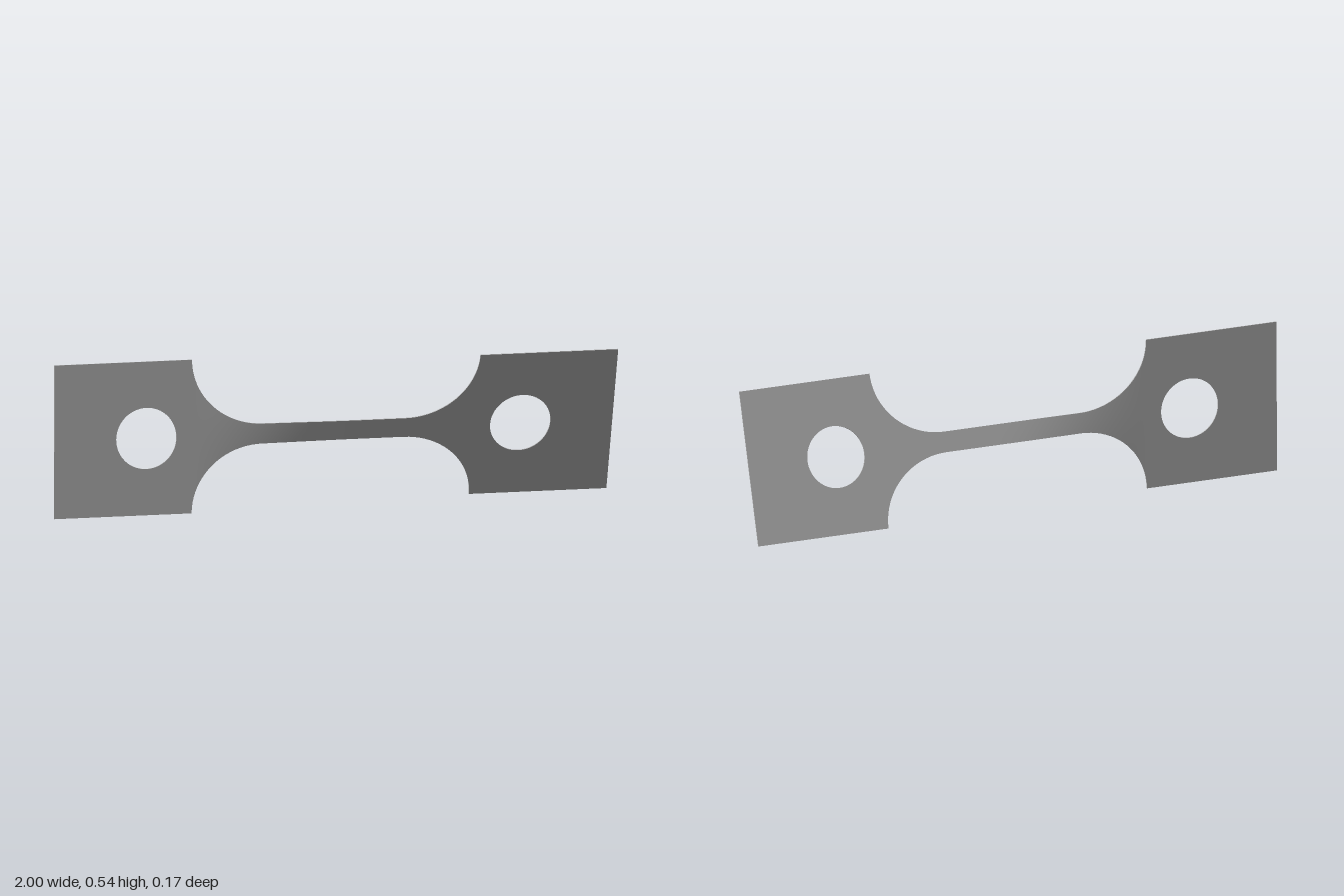
import * as THREE from 'three';

const MID = 0.272;       // height of the long axis
const HALF = 0.271;      // half height of the heads
const NECK = 0.036;      // half height of the narrow bar
const HEAD_X = 0.507;    // inner edge of the heads
const BAR_X = 0.255;     // end of the straight bar
const THICK = 0.004;
const TILT_A = 0.012, TILT_B = 0.311; // tilt of the two heads, in radians

// Tilt about the long axis, turning smoothly along the bar
const tilt = (x) => TILT_A + (TILT_B - TILT_A) * THREE.MathUtils.smoothstep(x, -0.5, 0.08);

// Head plate with a round hole
function makeHead(side, material) {
  const inner = side * HEAD_X, outer = side;
  const a = Math.min(inner, outer), b = Math.max(inner, outer);
  const shape = new THREE.Shape([
    new THREE.Vector2(a, -HALF), new THREE.Vector2(b, -HALF),
    new THREE.Vector2(b, HALF), new THREE.Vector2(a, HALF),
  ]);
  const hole = new THREE.Path();
  hole.absarc(side * 0.67, 0, 0.108, 0, Math.PI * 2, true);
  shape.holes.push(hole);
  const geometry = new THREE.ExtrudeGeometry(shape, { depth: THICK, bevelEnabled: false, curveSegments: 32 });
  geometry.translate(0, 0, -THICK / 2);
  geometry.rotateX(side < 0 ? TILT_A : TILT_B);
  return new THREE.Mesh(geometry, material);
}

// Stations along the bar: fillet, straight part, fillet
function barStations() {
  const list = [];
  const fillet = 20, straight = 28;
  const arc = (i) => {
    const t = (i / fillet) * Math.PI / 2;
    return [BAR_X + (HEAD_X - BAR_X) * Math.sin(t), HALF - (HALF - NECK) * Math.cos(t)];
  };
  for (let i = fillet; i > 0; i--) { const [x, h] = arc(i); list.push([-x, h]); }
  for (let i = 0; i <= straight; i++) list.push([-BAR_X + 2 * BAR_X * i / straight, NECK]);
  for (let i = 1; i <= fillet; i++) list.push(arc(i));
  return list;
}

// Twisted bar: a box whose columns follow the stations
function makeBar(material) {
  const stations = barStations();
  const n = stations.length - 1;
  const geometry = new THREE.BoxGeometry(n, 2, THICK, n, 6, 1);
  const p = geometry.attributes.position;
  for (let i = 0; i < p.count; i++) {
    const [x, h] = stations[Math.round(p.getX(i) + n / 2)];
    const y = p.getY(i) * h, z = p.getZ(i), a = tilt(x);
    p.setXYZ(i, x, y * Math.cos(a) - z * Math.sin(a), y * Math.sin(a) + z * Math.cos(a));
  }
  geometry.computeVertexNormals();
  return new THREE.Mesh(geometry, material);
}

export function createModel() {
  const group = new THREE.Group();
  group.name = 'twistedTestStrip';
  const grey = new THREE.MeshStandardMaterial({ color: 0xb0b0b0 });
  grey.name = 'grey metal';

  const bar = makeBar(grey);
  bar.name = 'twistedBar';
  const right = makeHead(-1, grey);
  right.name = 'rightHead';
  const left = makeHead(1, grey);
  left.name = 'leftHead';
  group.add(bar, right, left);
  group.children.forEach((m) => { m.position.y = MID; });
  return group;
}
